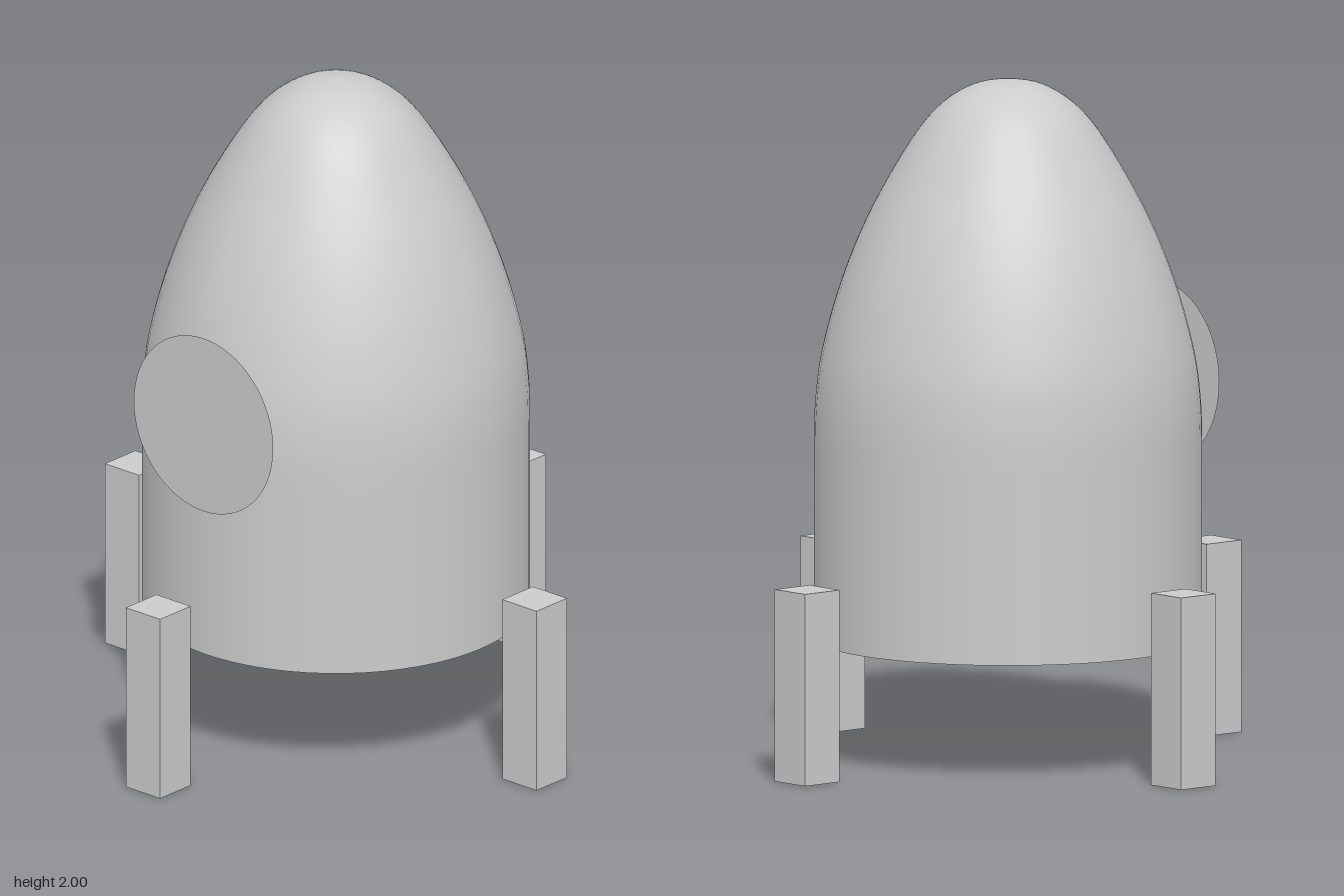
import * as THREE from 'three';

export function createModel() {
  const model = new THREE.Group();
  model.name = 'capsule';
  const grey = new THREE.MeshStandardMaterial({ color: 0xcccccc });
  const thin = new THREE.MeshStandardMaterial({ color: 0xcccccc, side: THREE.DoubleSide });

  const add = (name, geometry, material, x, y, z) => {
    const mesh = new THREE.Mesh(geometry, material);
    mesh.name = name;
    mesh.position.set(x, y, z);
    model.add(mesh);
    return mesh;
  };

  // Hull: straight wall that curves into a rounded nose
  const radius = 0.567, bottom = 0.35;
  const nose = new THREE.SplineCurve([
    [radius, 0.915], [0.563, 1.05], [0.543, 1.2], [0.488, 1.4], [0.407, 1.6],
    [0.295, 1.8], [0.205, 1.915], [0.105, 1.98], [0, 2],
  ].map(([x, y]) => new THREE.Vector2(x, y)));
  const profile = [new THREE.Vector2(radius, bottom), ...nose.getPoints(48)];
  profile[profile.length - 1].x = 0;
  add('hull', new THREE.LatheGeometry(profile, 64), grey, 0, 0, 0);

  // Flat floor closing the hull
  const floor = add('floor', new THREE.CircleGeometry(radius, 64), grey, 0, bottom, 0);
  floor.rotation.x = Math.PI / 2;

  // Thin round window just in front of the hull
  add('window', new THREE.CircleGeometry(0.273, 64), thin, 0, 1.08, 0.58);

  // Four free-standing square legs around the hull
  const legHeight = 0.566, legWidth = 0.134;
  const legGeometry = new THREE.BoxGeometry(legWidth, legHeight, legWidth);
  for (const [name, x, z] of [['frontLeg', 0, 1], ['backLeg', 0, -1], ['leftLeg', 1, 0], ['rightLeg', -1, 0]]) {
    add(name, legGeometry, grey, x * 0.778, legHeight / 2, z * 0.778);
  }
  return model;
}
